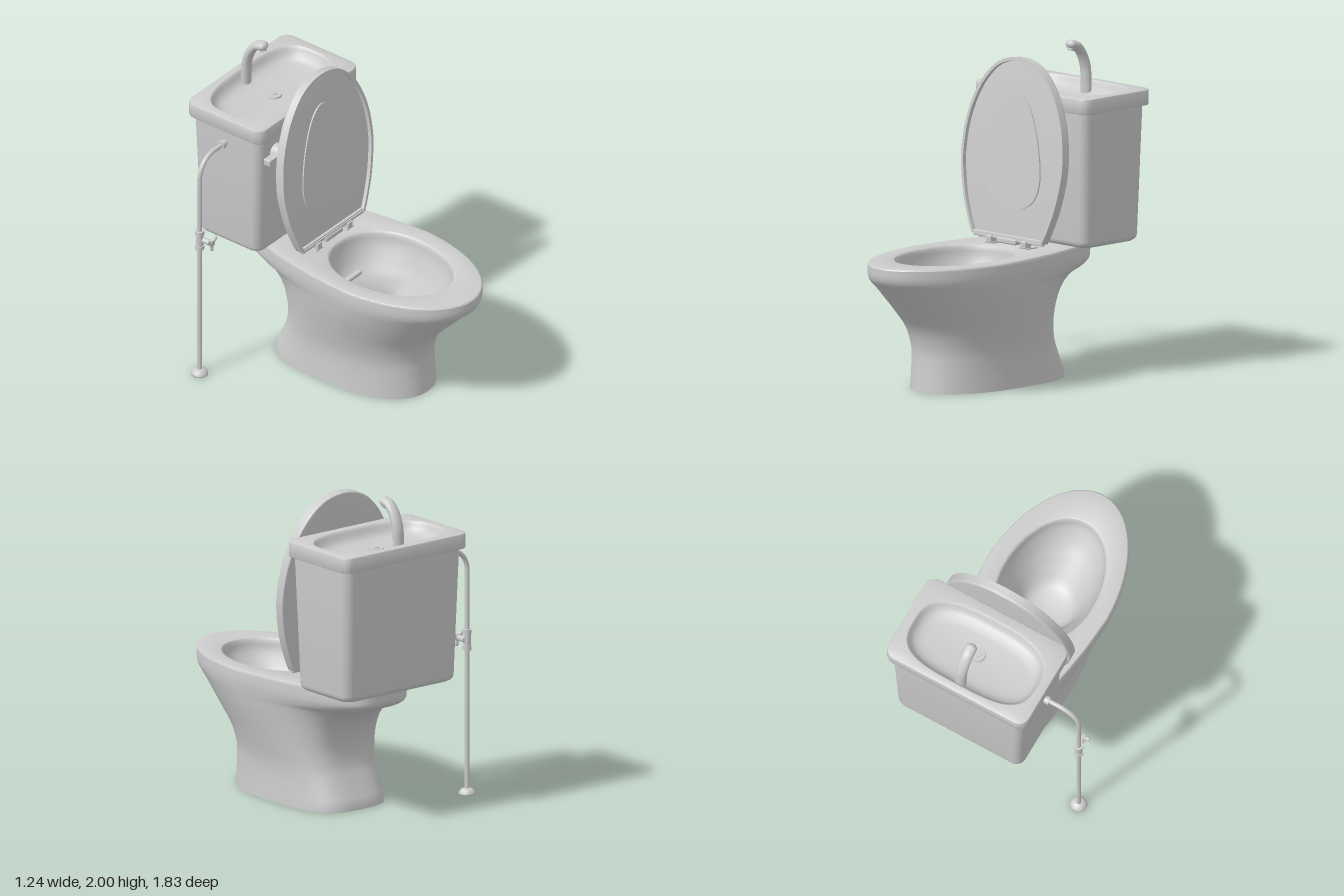
import * as THREE from 'three';
import { toCreasedNormals } from 'three/addons/utils/BufferGeometryUtils.js';
import { RoundedBoxGeometry } from 'three/addons/geometries/RoundedBoxGeometry.js';

const CX = 0.132; // centre line of bowl and tank
const N = 64; // points per cross-section
const ceramic = new THREE.MeshStandardMaterial({ color: 0xcccccc });
ceramic.name = 'lightGrey';

const spow = (v, p) => Math.sign(v) * Math.abs(v) ** p;

// Egg-shaped ring: front and back halves have their own length and squareness,
// and the back half narrows by the taper
function egg(y, zf, zb, a, zc, nb = 2, taper = 0, nf = 2) {
  return Array.from({ length: N }, (_, i) => {
    const t = ((i + 0.5) / N) * Math.PI * 2, s = Math.sin(t), c = Math.cos(t);
    const n = c > 0 ? nf : nb, d = spow(c, 2 / n);
    const w = a * (1 - taper * Math.max(0, -d) ** 1.3);
    return [CX + w * spow(s, 2 / n), y, zc + (c > 0 ? zf - zc : zc - zb) * d];
  });
}

// Rounded rectangle ring
function rrect(y, hx, zf, zb, r) {
  const zc = (zf + zb) / 2, hz = (zf - zb) / 2, q = N / 4;
  return Array.from({ length: N }, (_, i) => {
    const k = Math.floor(i / q), t = (k + (i % q) / (q - 1)) * Math.PI / 2;
    const sx = k < 2 ? 1 : -1, sz = k === 0 || k === 3 ? 1 : -1;
    return [CX + sx * (hx - r) + r * Math.sin(t), y, zc + sz * (hz - r) + r * Math.cos(t)];
  });
}

// Skin over a stack of rings
function loft(rings) {
  const idx = [];
  for (let j = 0; j < rings.length - 1; j++) {
    for (let i = 0; i < N; i++) {
      const a = j * N + i, b = j * N + ((i + 1) % N);
      idx.push(a, b, b + N, a, b + N, a + N);
    }
  }
  const g = new THREE.BufferGeometry();
  g.setAttribute('position', new THREE.Float32BufferAttribute(rings.flat(2), 3));
  g.setIndex(idx);
  return toCreasedNormals(g.toNonIndexed(), 0.6);
}

// Smoothly interpolated rows of ring parameters
function smoothRows(rows, steps) {
  const f = new THREE.CubicInterpolant(rows.map((_, i) => i), rows.flat(), rows[0].length);
  const out = [];
  for (let i = 0; i <= (rows.length - 1) * steps; i++) out.push([...f.evaluate(i / steps)]);
  return out;
}

// Mirrored closed outline from half-profile points, bottom to top
function outline(half) {
  const v = half.map(([x, y]) => new THREE.Vector2(x, y));
  const curve = new THREE.SplineCurve([...v, ...v.slice(0, -1).reverse().map(p => new THREE.Vector2(-p.x, p.y))]);
  return curve.getPoints(72);
}

export function createModel() {
  const root = new THREE.Group();
  root.name = 'toilet';
  function add(name, geo, x = 0, y = 0, z = 0, parent = root) {
    const m = new THREE.Mesh(geo, ceramic);
    m.name = name;
    m.position.set(x, y, z);
    parent.add(m);
    return m;
  }
  const cyl = (r1, r2, h, axis = 'y') => {
    const g = new THREE.CylinderGeometry(r1, r2, h, 24);
    if (axis === 'x') g.rotateZ(Math.PI / 2);
    if (axis === 'z') g.rotateX(Math.PI / 2);
    return g;
  };

  // Pedestal and bowl: outside up, over the rim, down inside
  const outer = smoothRows([ // y, front z, back z, half width, widest z, back squareness, taper, front squareness
    [0.04, 0.567, -0.482, 0.304, 0.05, 3.4, 0, 2.2],
    [0.16, 0.558, -0.427, 0.3, 0.06, 3.4, 0, 2.2],
    [0.26, 0.56, -0.39, 0.307, 0.07, 3.3, 0, 2.15],
    [0.38, 0.6, -0.384, 0.336, 0.09, 3.3, 0.08, 2.1],
    [0.5, 0.7, -0.42, 0.37, 0.13, 3.4, 0.18, 2.05],
    [0.58, 0.778, -0.48, 0.392, 0.16, 3.5, 0.25, 2],
    [0.635, 0.83, -0.56, 0.404, 0.18, 3.7, 0.3, 2],
    [0.665, 0.862, -0.66, 0.41, 0.19, 3.9, 0.33, 2],
    [0.7, 0.9, -0.712, 0.415, 0.2, 4, 0.33, 2],
    [0.74, 0.918, -0.72, 0.418, 0.2, 4, 0.33, 2],
    [0.795, 0.92, -0.72, 0.416, 0.2, 4, 0.33, 2],
  ], 4);
  const inner = smoothRows([
    [0.79, 0.705, -0.105, 0.296, 0.26, 2.2, 0],
    [0.72, 0.69, -0.09, 0.285, 0.26, 2.3, 0.05],
    [0.62, 0.62, -0.045, 0.25, 0.26, 2.5, 0.25],
    [0.555, 0.55, 0.04, 0.22, 0.26, 2.7, 0.25],
    [0.48, 0.47, 0.11, 0.185, 0.25, 2.8, 0.15],
    [0.41, 0.39, 0.135, 0.14, 0.24, 2.7, 0.05],
    [0.385, 0.28, 0.17, 0.06, 0.22, 2.2, 0],
    [0.38, 0.221, 0.219, 0.001, 0.22, 2, 0],
  ], 3);
  add('bowl', loft([
    egg(0, 0.051, 0.049, 0.001, 0.05),
    egg(0, 0.57, -0.485, 0.306, 0.05, 3.4, 0, 2.2),
    ...outer.map(r => egg(...r)),
    egg(0.803, 0.914, -0.714, 0.41, 0.2, 4, 0.33),
    egg(0.805, 0.905, -0.705, 0.402, 0.2, 4, 0.33),
    egg(0.805, 0.722, -0.12, 0.312, 0.26, 2.2),
    egg(0.801, 0.712, -0.112, 0.303, 0.26, 2.2),
    ...inner.map(r => egg(...r)),
  ]));
  add('flushInlet', new RoundedBoxGeometry(0.14, 0.03, 0.035, 3, 0.012), CX, 0.592, -0.005);

  // Tank body with rounded bottom edge
  const bottom = [0, 0.25, 0.5, 0.75, 1].map(k => {
    const t = k * Math.PI / 2, d = 0.04 * (1 - Math.sin(t));
    return rrect(0.845 - 0.04 * Math.cos(t), 0.435 - d, -0.388 - d, -0.862 + d, 0.06);
  });
  add('tankBody', loft([
    rrect(0.805, 0.002, -0.625, -0.627, 0.001), ...bottom, rrect(1.65, 0.458, -0.36, -0.886, 0.06),
  ]));

  // Tank lid with hand-wash basin
  const basin = [[1.735, 0], [1.73, 0.006], [1.715, 0.013], [1.69, 0.024], [1.67, 0.042], [1.658, 0.07], [1.652, 0.11]];
  add('tankLid', loft([
    rrect(1.64, 0.44, -0.38, -0.87, 0.06),
    rrect(1.64, 0.484, -0.338, -0.912, 0.065),
    rrect(1.645, 0.487, -0.335, -0.915, 0.067),
    rrect(1.725, 0.487, -0.335, -0.915, 0.067),
    rrect(1.732, 0.484, -0.338, -0.912, 0.065),
    rrect(1.735, 0.478, -0.344, -0.906, 0.06),
    ...basin.map(([y, d]) => egg(y, -0.395 - d, -0.87 + d, 0.432 - d, -0.65, 3.4, 0.04, 2.9)),
    egg(1.648, -0.624, -0.626, 0.001, -0.625),
  ]));

  // Drain fitting
  add('drainDisc', cyl(0.046, 0.05, 0.02), CX, 1.652, -0.615);
  add('drainPlug', cyl(0.018, 0.02, 0.02), CX, 1.658, -0.615);

  // Spout, wider than deep
  const spoutPath = new THREE.CatmullRomCurve3([
    [1.65, -0.828], [1.74, -0.826], [1.83, -0.818], [1.91, -0.785], [1.958, -0.742], [1.972, -0.7],
  ].map(([y, z]) => new THREE.Vector3(0, y, z)));
  add('spout', new THREE.TubeGeometry(spoutPath, 40, 0.028, 20).scale(1.35, 1, 1), CX);
  add('spoutTip', new THREE.SphereGeometry(0.028, 20, 14).scale(1.35, 1, 1), CX, 1.972, -0.699);
  add('spoutNozzle', cyl(0.022, 0.022, 0.03), CX, 1.95, -0.7).rotation.x = -0.35;

  // Flush lever on the tank front
  add('leverBoss', cyl(0.053, 0.053, 0.08, 'z'), -0.17, 1.51, -0.325);
  add('leverHandle', new RoundedBoxGeometry(0.15, 0.042, 0.05, 3, 0.006), -0.238, 1.51, -0.318);

  // Raised lid
  const lid = new THREE.Group();
  lid.name = 'lid';
  lid.position.set(CX, 0.83, -0.178);
  lid.rotation.x = -0.094;
  root.add(lid);
  const edge = outline([[0.3, 0.02], [0.338, 0.1], [0.39, 0.24], [0.424, 0.4], [0.432, 0.52],
    [0.414, 0.68], [0.366, 0.83], [0.285, 0.97], [0.163, 1.08], [0, 1.12]]);
  const inset = edge.map(p => new THREE.Vector2(p.x * 0.955, 0.03 + (p.y - 0.02) * 0.972));
  const drop = outline([[0, 0.2], [0.11, 0.213], [0.2, 0.28], [0.232, 0.4], [0.21, 0.56],
    [0.16, 0.72], [0.09, 0.85], [0, 0.91]]);
  const rim = new THREE.Shape(edge);
  rim.holes.push(new THREE.Path(inset));
  const plate = (shape, depth, bevel = 0) => toCreasedNormals(new THREE.ExtrudeGeometry(shape, {
    depth, bevelEnabled: bevel > 0, bevelSize: bevel, bevelThickness: bevel, bevelOffset: -bevel, bevelSegments: 3,
  }), 0.5);
  add('lidPanel', plate(new THREE.Shape(edge), 0.02, 0.008), 0, 0, -0.022, lid);
  add('lidRim', plate(rim, 0.032), 0, 0, -0.002, lid);
  add('lidInset', plate(new THREE.Shape(drop), 0.009), 0, 0, 0.006, lid);
  add('lidFoot', new RoundedBoxGeometry(0.59, 0.035, 0.03, 2, 0.006), 0, 0.023, 0.008, lid);

  // Hinges
  add('hingeBar', new RoundedBoxGeometry(0.165, 0.035, 0.05, 3, 0.01), CX, 0.836, -0.168);
  for (const s of [-1, 1]) {
    add('hingePost', new RoundedBoxGeometry(0.045, 0.05, 0.055, 3, 0.01), CX + s * 0.148, 0.83, -0.168);
    add('hingePlate', new THREE.BoxGeometry(0.07, 0.008, 0.09), CX + s * 0.148, 0.808, -0.188);
  }

  // Water supply pipe
  const PX = -0.573, PZ = -0.627, V = (x, y) => new THREE.Vector3(x, y, PZ);
  const pipe = new THREE.CurvePath();
  pipe.add(new THREE.LineCurve3(V(PX, 0.02), V(PX, 1.4)));
  pipe.add(new THREE.CubicBezierCurve3(V(PX, 1.4), V(PX, 1.48), V(PX + 0.06, 1.54), V(PX + 0.14, 1.54)));
  pipe.add(new THREE.LineCurve3(V(PX + 0.14, 1.54), V(-0.3, 1.54)));
  add('supplyPipe', new THREE.TubeGeometry(pipe, 120, 0.015, 16));
  add('pipeNut', cyl(0.026, 0.026, 0.03, 'x'), -0.358, 1.54, PZ);
  add('pipeCollar', cyl(0.018, 0.018, 0.06, 'x'), -0.33, 1.54, PZ);
  const flange = [[0.001, 0], [0.052, 0], [0.052, 0.008], [0.044, 0.024], [0.03, 0.034], [0.015, 0.038]];
  add('floorFlange', new THREE.LatheGeometry(flange.map(p => new THREE.Vector2(...p)), 32), PX, 0, PZ);

  // Stop valve with winged handle
  add('valveBody', cyl(0.022, 0.022, 0.12), PX, 0.965, PZ);
  for (const y of [0.915, 1.018]) add('valveNut', cyl(0.028, 0.028, 0.026), PX, y, PZ);
  add('valveStem', cyl(0.016, 0.02, 0.08, 'z'), PX + 0.012, 0.965, PZ + 0.04);
  add('handleHub', cyl(0.02, 0.02, 0.024, 'z'), PX + 0.015, 0.965, PZ + 0.08);
  for (const a of [0.55, 2.6, 4.75]) {
    const wing = add('handleWing', new THREE.CapsuleGeometry(0.012, 0.034, 6, 12),
      PX + 0.015 + 0.026 * Math.cos(a), 0.965 + 0.026 * Math.sin(a), PZ + 0.08);
    wing.rotation.z = a - Math.PI / 2;
  }
  return root;
}
